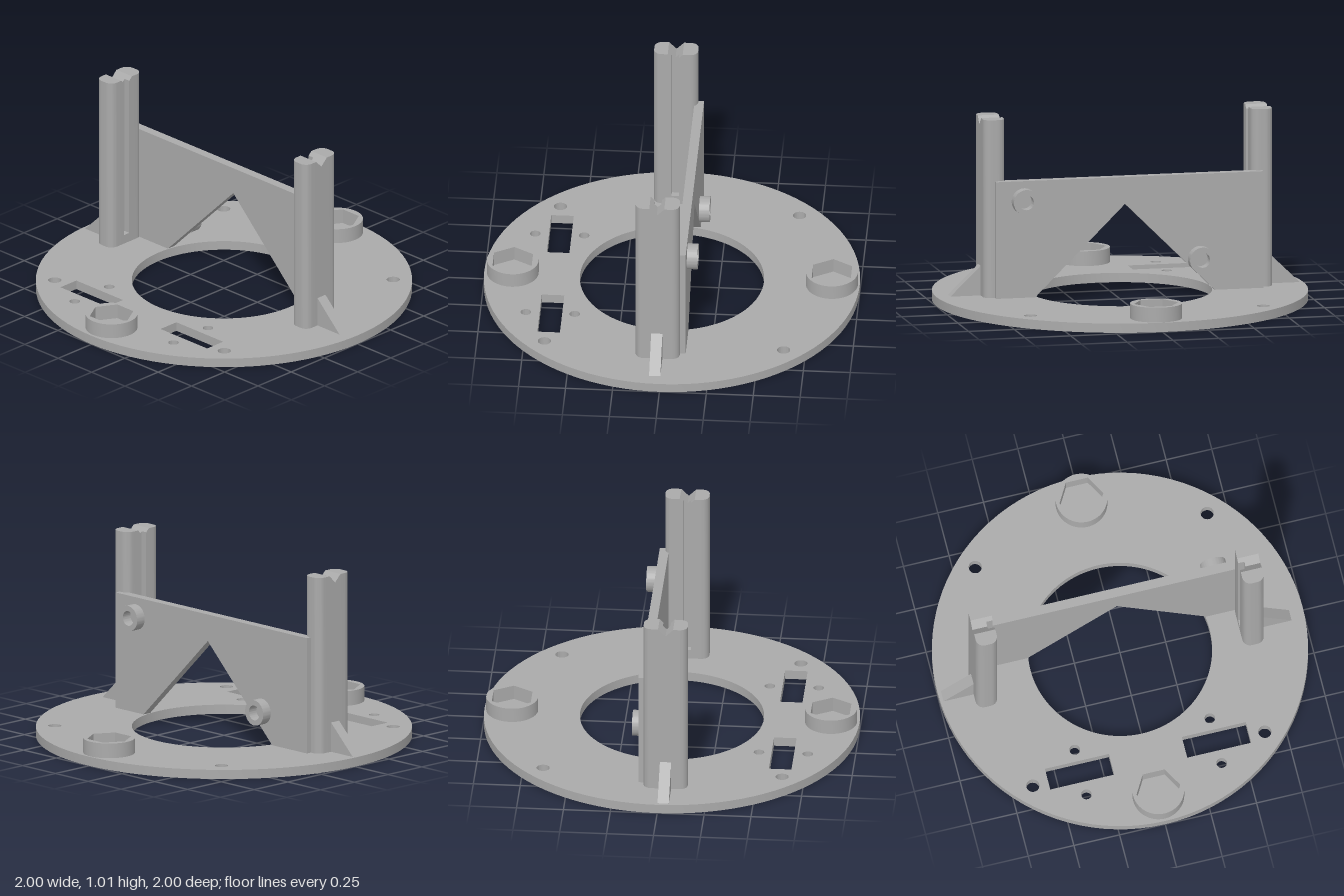
import * as THREE from 'three';
import { toCreasedNormals } from 'three/addons/utils/BufferGeometryUtils.js';

const grey = new THREE.MeshStandardMaterial({ color: 0xaaaaaa });
grey.name = 'plain grey';

const PLATE = 0.05;   // top of the base plate

function add(parent, name, geometry) {
  const mesh = new THREE.Mesh(toCreasedNormals(geometry, 0.5), grey);
  mesh.name = name;
  parent.add(mesh);
  return mesh;
}

const polygon = (points) => new THREE.Shape(points.map(([x, y]) => new THREE.Vector2(x, y)));

function disc(x, y, r) {
  const s = new THREE.Shape();
  s.absarc(x, y, r, 0, Math.PI * 2, false);
  return s;
}

const extrude = (shape, depth, curveSegments = 32) =>
  new THREE.ExtrudeGeometry(shape, { depth, bevelEnabled: false, curveSegments });

// Shape drawn in x/z, standing between two heights
const upright = (shape, y0, y1, segments) =>
  extrude(shape, y1 - y0, segments).rotateX(Math.PI / 2).translate(0, y1, 0);

// Post lofted along z: rounded ends, a V notch on top and a groove on the inner face
function postGeometry(xMin, xMax, innerIsMax) {
  const zBack = -0.09, zFront = 0.145, r = 0.042, top = 1.01, groove = 0.035;
  const stations = [];   // [z, xMin, xMax, top]
  const corner = (a) => r * (1 - Math.cos(a));
  for (let i = 0; i <= 8; i++) {
    const a = (i / 8) * Math.PI / 2;
    const inset = r * (1 - Math.sin(a));
    stations.push([zBack + corner(a), xMin + inset, xMax - inset, top]);
  }
  const middle = [
    [-0.01, top, 0], [0.01, 0.99, 0], [0.01, 0.99, 1], [0.03, 0.97, 1],
    [0.05, 0.99, 1], [0.05, 0.99, 0], [0.07, top, 0],
  ];
  for (const [z, y, cut] of middle) {
    const d = cut * groove;
    stations.push([z, xMin + (innerIsMax ? 0 : d), xMax - (innerIsMax ? d : 0), y]);
  }
  for (let i = 8; i >= 0; i--) {
    const a = (i / 8) * Math.PI / 2;
    const inset = r * (1 - Math.sin(a));
    stations.push([zFront - corner(a), xMin + inset, xMax - inset, top]);
  }
  const ring = ([z, a, b, y]) => [[a, PLATE, z], [b, PLATE, z], [b, y, z], [a, y, z]];
  const pos = [];
  const quad = (a, b, c, d) => pos.push(...a, ...b, ...c, ...a, ...c, ...d);
  for (let i = 0; i < stations.length - 1; i++) {
    const p = ring(stations[i]), q = ring(stations[i + 1]);
    for (let k = 0; k < 4; k++) {
      const n = (k + 1) % 4;
      quad(p[k], p[n], q[n], q[k]);
    }
  }
  const back = ring(stations[0]), front = ring(stations[stations.length - 1]);
  quad(back[3], back[2], back[1], back[0]);
  quad(front[0], front[1], front[2], front[3]);
  const geometry = new THREE.BufferGeometry();
  geometry.setAttribute('position', new THREE.Float32BufferAttribute(pos, 3));
  return geometry;
}

export function createModel() {
  const model = new THREE.Group();
  model.name = 'ringBracket';

  // Base ring with bolt holes, two slots and their screw holes
  const base = disc(0, 0, 1);
  base.holes.push(disc(0, 0, 0.49));
  for (const s of [-1, 1]) {
    for (const t of [-1, 1]) base.holes.push(disc(s * 0.635, t * 0.637, 0.035));
    for (const z of [0.493, 0.753]) base.holes.push(disc(s * 0.37, z, 0.028));
    base.holes.push(polygon([
      [s * 0.2, 0.56], [s * 0.55, 0.56], [s * 0.55, 0.68], [s * 0.2, 0.68],
    ]));
  }
  add(model, 'basePlate', upright(base, 0, PLATE, 48));

  // Round bosses with hexagonal nut pockets
  for (const [name, z] of [['frontNutBoss', 0.848], ['backNutBoss', -0.852]]) {
    const boss = disc(0, z, 0.138);
    const hex = [];
    for (let i = 0; i < 6; i++) {
      const a = i * Math.PI / 3;
      hex.push([0.12 * Math.cos(a), z + 0.12 * Math.sin(a)]);
    }
    boss.holes.push(polygon(hex));
    add(model, name, upright(boss, PLATE, 0.13));
  }

  // Cross wall with a triangular opening
  const wall = polygon([
    [-0.755, PLATE], [-0.49, PLATE], [0, 0.535], [0.49, PLATE],
    [0.703, PLATE], [0.703, 0.68], [-0.755, 0.68],
  ]);
  add(model, 'crossWall', extrude(wall, 0.05).translate(0, 0, -0.12));

  // Hollow screw bosses on the back of the wall
  for (const [name, x, y] of [['upperScrewBoss', 0.55, 0.573], ['lowerScrewBoss', -0.411, 0.222]]) {
    const ring = disc(x, y, 0.069);
    ring.holes.push(disc(x, y, 0.04));
    add(model, name, extrude(ring, 0.056).translate(0, 0, -0.176));
  }

  // Posts, each with a groove stop and an outer gusset
  for (const [side, xMin, xMax] of [['right', -0.816, -0.7], ['left', 0.644, 0.76]]) {
    const innerIsMax = side === 'right';
    const post = new THREE.Group();
    post.name = side + 'Post';
    model.add(post);
    add(post, 'postColumn', postGeometry(xMin, xMax, innerIsMax));

    const stopX = innerIsMax ? xMax - 0.0175 : xMin + 0.0175;
    add(post, 'grooveStop', new THREE.BoxGeometry(0.035, 0.05, 0.04).translate(stopX, PLATE + 0.025, 0.03));

    const outer = innerIsMax ? xMin : xMax, dir = innerIsMax ? -1 : 1;
    const gusset = polygon([
      [outer - dir * 0.01, PLATE], [outer + dir * 0.165, PLATE],
      [outer, 0.21], [outer - dir * 0.01, 0.21],
    ]);
    add(post, 'gusset', extrude(gusset, 0.06));
  }

  return model;
}
